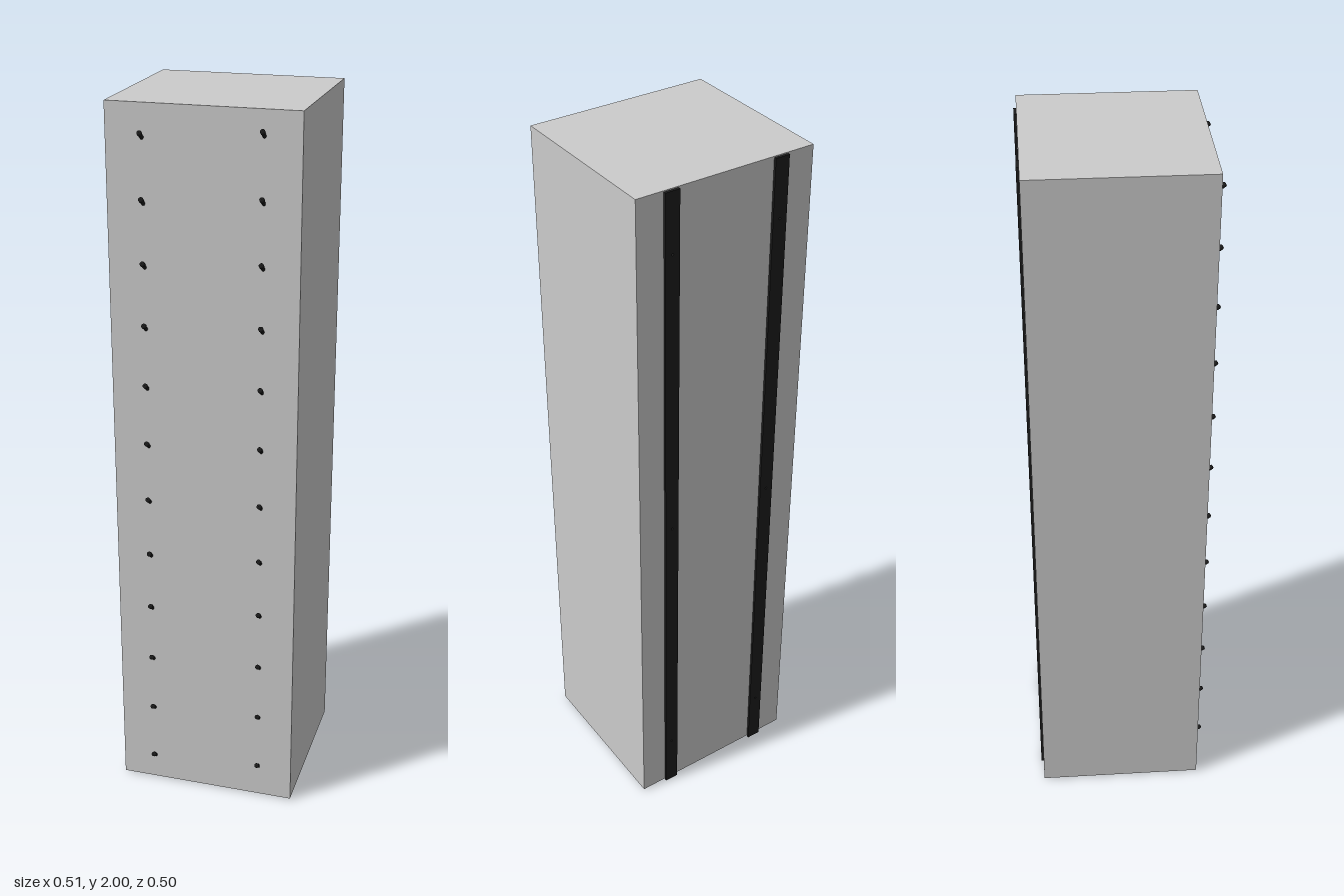
import * as THREE from 'three';

export function createModel() {
  const model = new THREE.Group();
  const grey = new THREE.MeshStandardMaterial({ color: 0xcccccc });
  const black = new THREE.MeshStandardMaterial({ color: 0x1c1c1c });

  const add = (name, geometry, material, x, y, z) => {
    const mesh = new THREE.Mesh(geometry, material);
    mesh.name = name;
    mesh.position.set(x, y, z);
    model.add(mesh);
    return mesh;
  };

  // Tall plain column, raised slightly above the feet of the rails
  const front = 0.226, back = -0.243;
  add('column', new THREE.BoxGeometry(0.508, 1.996, front - back), grey, 0, 1.002, (front + back) / 2);

  // Rear mounting rails, each drilled with three small screw holes
  const outline = new THREE.Shape();
  outline.moveTo(-0.0205, 0);
  outline.lineTo(0.0205, 0);
  outline.lineTo(0.0205, 1.997);
  outline.lineTo(-0.0205, 1.997);
  outline.closePath();
  for (const y of [0.167, 1, 1.833]) {
    outline.holes.push(new THREE.Path().absarc(0, y, 0.003, 0, Math.PI * 2, true));
  }
  const rail = new THREE.ExtrudeGeometry(outline, { depth: 0.007, bevelEnabled: false, curveSegments: 8 });

  // Peg: slim shank with a slightly thicker rounded tip
  const profile = [
    [0, -0.022], [0.005, -0.022], [0.005, 0.003], [0.0066, 0.005],
    [0.0066, 0.0125], [0.005, 0.0155], [0, 0.0165],
  ].map(([r, y]) => new THREE.Vector2(r, y));
  const peg = new THREE.LatheGeometry(profile, 16);

  for (const side of [-1, 1]) {
    add(side > 0 ? 'leftRail' : 'rightRail', rail, black, side * 0.157, 0, back - 0.007);

    // Twelve pegs per column, leaning up and outward; the two rows are staggered
    const lowest = side > 0 ? 0.107 : 0.086;
    for (let i = 0; i < 12; i++) {
      const mesh = add(side > 0 ? 'leftPeg' : 'rightPeg', peg, black, side * 0.157, lowest + i * 0.1668, 0.235);
      mesh.rotation.x = THREE.MathUtils.degToRad(53);
    }
  }
  return model;
}
